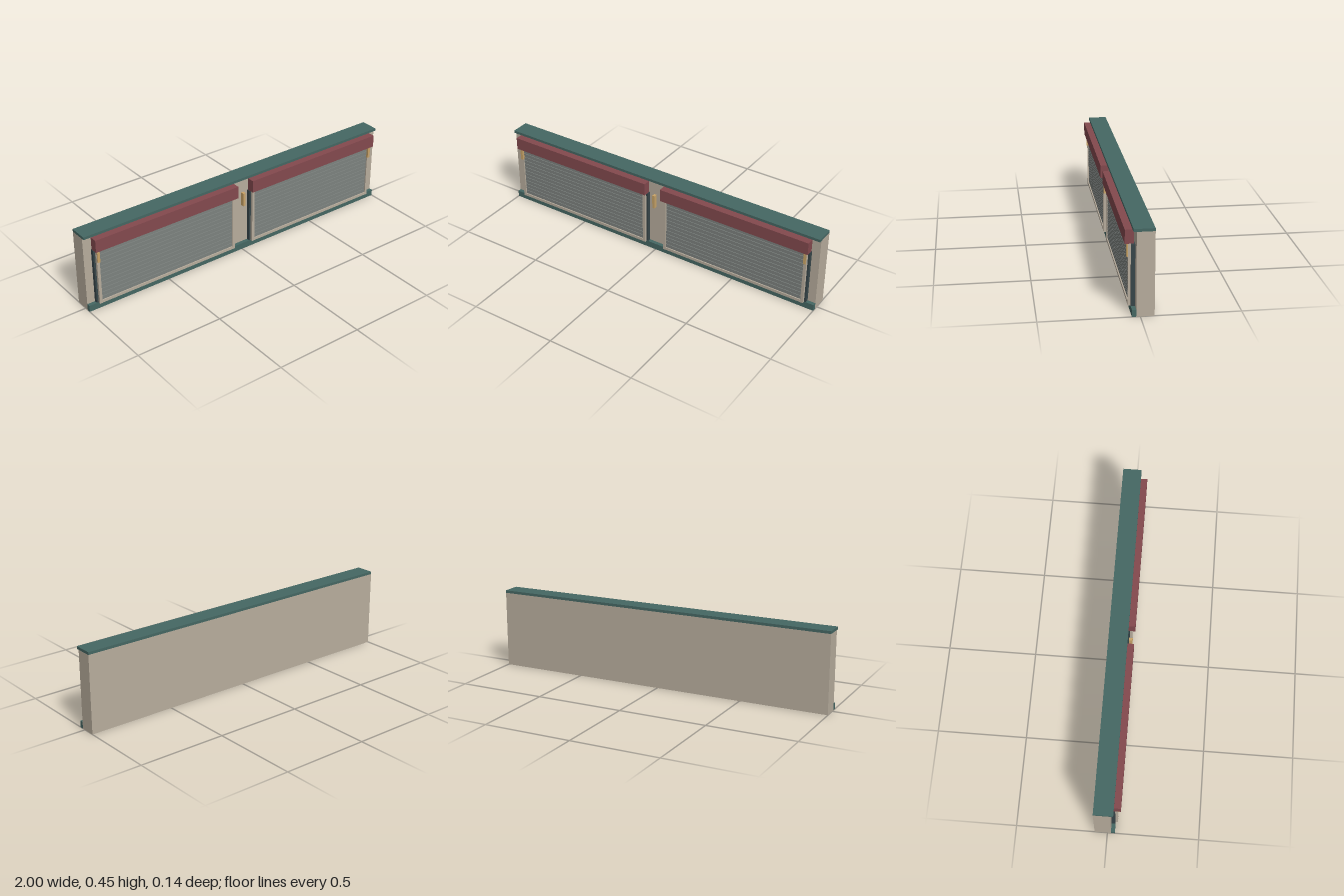
import * as THREE from 'three';

const mat = (name, color) => {
  const m = new THREE.MeshStandardMaterial({ color });
  m.name = name;
  return m;
};

export function createModel() {
  const stone = mat('warm stone', 0xb8ad9d);
  const teal = mat('dark teal', 0x456763);
  const maroon = mat('maroon', 0x83494e);
  const brass = mat('brass', 0xc9a468);
  const grey = mat('shutter grey', 0x7d827f);
  const dark = mat('dark slate', 0x37464a);

  // Box given by its limits along x, y and z
  const box = (parent, name, material, [x0, x1], [y0, y1], [z0, z1]) => {
    const mesh = new THREE.Mesh(new THREE.BoxGeometry(x1 - x0, y1 - y0, z1 - z0), material);
    mesh.position.set((x0 + x1) / 2, (y0 + y1) / 2, (z0 + z1) / 2);
    mesh.name = name;
    parent.add(mesh);
    return mesh;
  };

  const model = new THREE.Group();
  model.name = 'shopfront';

  // Wall, base strip and roof cap
  box(model, 'wall', stone, [-1, 1], [0, 0.438], [-0.07, 0.02]);
  box(model, 'plinth', teal, [-1, 1], [0, 0.037], [0.02, 0.041]);
  box(model, 'roofCap', teal, [-1, 1], [0.438, 0.453], [-0.07, 0.035]);

  // Two shuttered bays
  for (const side of [-1, 1]) {
    const bay = new THREE.Group();
    bay.name = side < 0 ? 'rightBay' : 'leftBay';
    bay.position.x = side * 0.502;
    model.add(bay);

    box(bay, 'opening', dark, [-0.452, 0.452], [0.037, 0.358], [0.02, 0.04]);
    box(bay, 'signBoard', maroon, [-0.452, 0.452], [0.362, 0.434], [0.027, 0.071]);

    // Shutter slats
    const count = 13, bottom = 0.05, pitch = (0.352 - bottom) / count;
    for (let i = 0; i < count; i++) {
      const y = bottom + i * pitch;
      box(bay, 'slat', grey, [-0.428, 0.428], [y, y + pitch - 0.003], [0.04, 0.047]);
    }

    // Guide rails and sill
    for (const s of [-1, 1]) {
      const rail = box(bay, 'guideRail', stone, [-0.008, 0.008], [0.034, 0.362], [0.039, 0.054]);
      rail.position.x = s * 0.433;
    }
    box(bay, 'sill', stone, [-0.425, 0.425], [0.034, 0.05], [0.039, 0.053]);
  }

  // Wall lamps
  for (const x of [-0.934, 0, 0.934]) {
    box(model, 'lamp', brass, [x - 0.0075, x + 0.0075], [0.29, 0.37], [0.04, 0.06]);
  }

  return model;
}
